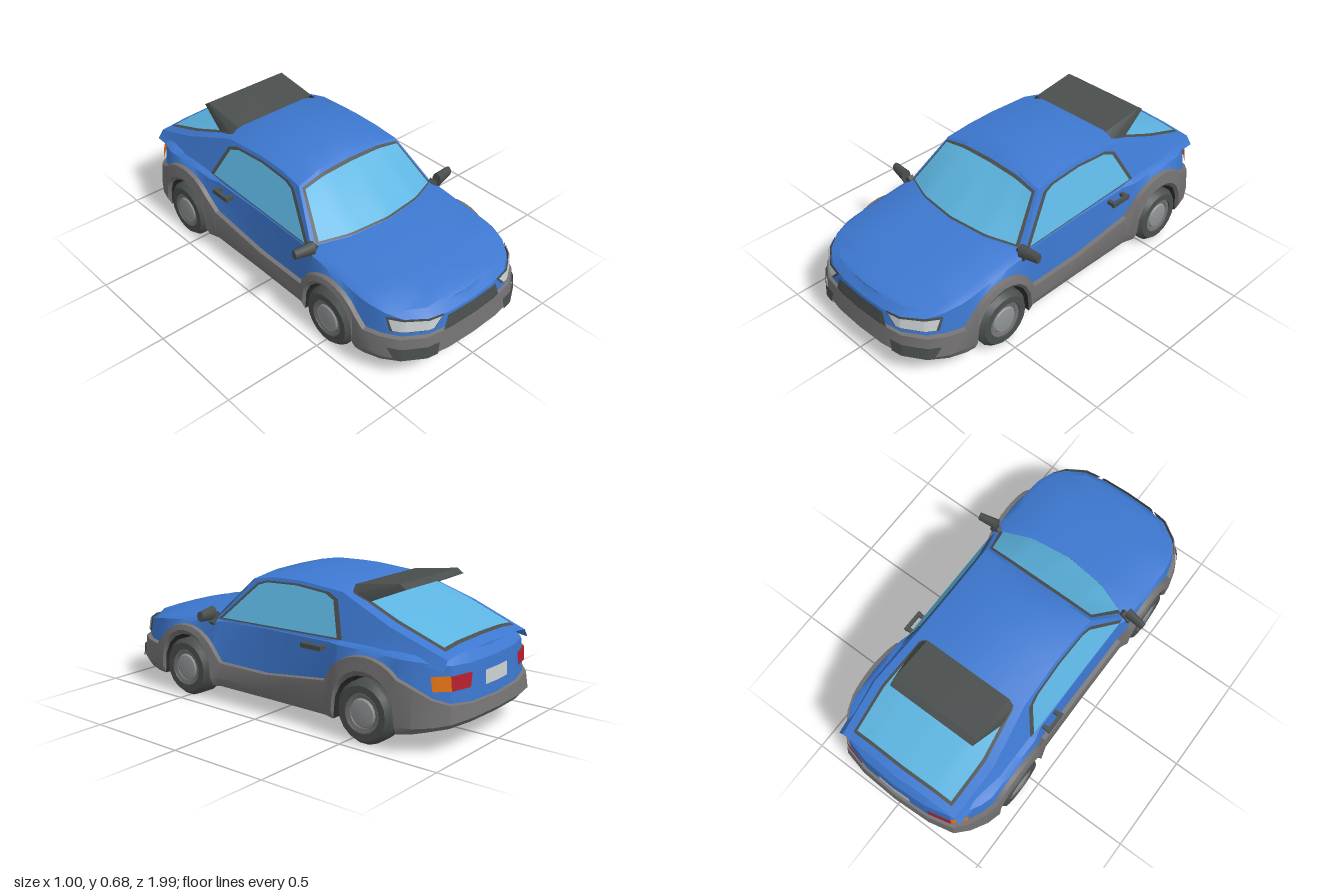
import * as THREE from 'three';
import { toCreasedNormals } from 'three/addons/utils/BufferGeometryUtils.js';

const paint = (name, color) => {
  const m = new THREE.MeshStandardMaterial({ color, side: THREE.DoubleSide });
  m.name = name;
  return m;
};
const V = (x, y, z) => new THREE.Vector3(x, y, z);
const lerp = THREE.MathUtils.lerp;

// Piecewise linear lookup in an ascending list of [key, value]
function interp(table, k) {
  if (k <= table[0][0]) return table[0][1];
  for (let i = 1; i < table.length; i++) {
    const [a, va] = table[i - 1], [b, vb] = table[i];
    if (k <= b) return b === a ? vb : lerp(va, vb, (k - a) / (b - a));
  }
  return table[table.length - 1][1];
}

// Skin over rows of points running front to rear, mirrored to both sides
function loft(rows) {
  const pos = [];
  for (const s of [1, -1]) for (let r = 0; r < rows.length - 1; r++) {
    for (let i = 0; i < rows[r].length - 1; i++) {
      const a = rows[r][i], b = rows[r][i + 1], c = rows[r + 1][i + 1], d = rows[r + 1][i];
      const order = s > 0 ? [a, b, c, a, c, d] : [a, c, b, a, d, c];
      for (const p of order) pos.push(p.x * s, p.y, p.z);
    }
  }
  const g = new THREE.BufferGeometry();
  g.setAttribute('position', new THREE.Float32BufferAttribute(pos, 3));
  return toCreasedNormals(g, 0.55);
}

// Thin curved panel sampled from fn(u, v)
function patch(fn, nu = 16, nv = 6) {
  const g = new THREE.PlaneGeometry(1, 1, nu, nv), p = g.attributes.position;
  for (let i = 0; i < p.count; i++) {
    const q = fn(p.getX(i) + 0.5, p.getY(i) + 0.5);
    p.setXYZ(i, q.x, q.y, q.z);
  }
  g.computeVertexNormals();
  return g;
}

export function createModel() {
  const car = new THREE.Group();
  car.name = 'car';
  const blue = paint('body blue', 0x3d78d0), grey = paint('bumper grey', 0x747273);
  const trim = paint('dark trim', 0x4a4f4e), floorMat = paint('underside black', 0x2b2c2c);
  const glass = paint('glass blue', 0x5cb4e0), silver = paint('lamp silver', 0xcbcfd0);
  const rim = paint('rim metal', 0x909496), red = paint('lamp red', 0xb4202e);
  const orange = paint('lamp orange', 0xe2720f);
  const add = (name, geo, mat, parent = car) => {
    const m = new THREE.Mesh(geo, mat);
    m.name = name;
    parent.add(m);
    return m;
  };

  // Plan outline stations from nose to tail, denser around the wheel arches
  const axles = [0.51, -0.58], axleY = 0.145;
  const arch = c => [0.17, 0.16, 0.13, 0.09, 0.045, 0, -0.045, -0.09, -0.13, -0.16, -0.17].map(d => [0.45, c + d]);
  const plan = [[0, 0.99], [0.15, 0.985], [0.27, 0.965], [0.37, 0.9], [0.42, 0.82], [0.445, 0.73],
    ...arch(axles[0]), [0.432, 0.3], [0.43, 0], [0.432, -0.35], ...arch(axles[1]),
    [0.43, -0.82], [0.385, -0.9], [0.33, -0.96], [0.2, -0.99], [0, -1]];

  // Heights along the car
  const floorY = z => interp([[-1, 0.13], [-0.8, 0.09], [-0.7, 0.08], [0.7, 0.08], [1, 0.1]], z);
  const circle = (z, c, r) => (Math.abs(z - c) < r ? axleY + Math.sqrt(r * r - (z - c) ** 2) : 0);
  const edgeY = z => Math.max(floorY(z), circle(z, axles[0], 0.165), circle(z, axles[1], 0.165));
  const greyY = z => Math.max(circle(z, axles[0], 0.215), circle(z, axles[1], 0.25),
    interp([[-1, 0.21], [-0.9, 0.25], [-0.8, 0.31], [-0.7, 0.3], [-0.4, 0.2], [0.6, 0.2], [0.75, 0.23], [1, 0.23]], z));
  const shoulderY = z => interp([[-1, 0.385], [-0.85, 0.405], [-0.58, 0.415], [0.2, 0.41], [0.4, 0.395], [0.8, 0.345], [0.9, 0.32], [1, 0.3]], z);
  const crownY = z => interp([[-0.96, 0.43], [-0.9, 0.44], [-0.4, 0.42], [0.2, 0.42], [0.42, 0.432], [0.6, 0.41], [0.8, 0.38], [0.9, 0.355], [0.95, 0.335]], z);

  // Horizontal ring, inset by dx at the sides and dz at the ends
  const ring = (dx, dz, yf) => plan.map(([x, z]) => {
    const end = THREE.MathUtils.clamp((Math.abs(z) - 0.72) / 0.2, 0, 1);
    const zz = z - Math.sign(z) * dz * end;
    return V(x * (1 - dx / 0.45), yf(z, zz), zz);
  });
  const low = ring(0.02, 0.02, edgeY);
  const well = low.map(p => V(Math.min(p.x, 0.3), p.y, p.z));
  const floor = well.map((p, i) => V(p.x, floorY(plan[i][1]), p.z));
  const floorMid = floor.map(p => V(0, p.y, p.z));
  const bumper = ring(0, 0, z => Math.max(edgeY(z) + 0.025, 0.125));
  const lip = ring(0.008, 0.01, greyY);
  const side = ring(0.03, 0.022, z => greyY(z) + 0.004);
  const shoulder = ring(0.042, 0.03, shoulderY);
  const top = ring(0.075, 0.06, (z, zz) => (Math.abs(z) > 0.95 ? crownY(zz) - 0.008 : shoulderY(z) + 0.018));
  const crown = top.map(p => V(0, crownY(p.z), p.z));
  const half = top.map((p, i) => V(p.x * 0.55, lerp(p.y, crown[i].y, 0.75), p.z));
  add('underside', loft([floorMid, floor, well, low]), floorMat);
  add('bumpersAndArches', loft([low, bumper, lip, side]), grey);
  add('lowerBody', loft([side, shoulder, top, half, crown]), blue);

  // Cabin hoops: base, roof edge, mid roof, centre
  const sideX = y => 0.39 - (y - 0.41) * 0.4;
  const hoop = (zb, ze, zq, zc, ye, yq, yc, xe = sideX(ye), xb = 0.39, yb = 0.405) =>
    [V(xb, yb, zb), V(xe, ye, ze), V(xe * 0.55, yq, zq), V(0, yc, zc)];
  const hoops = [
    hoop(0.335, 0.335, 0.405, 0.43, 0.42, 0.428, 0.431),
    hoop(0.16, 0.16, 0.145, 0.14, 0.62, 0.645, 0.65),
    hoop(0.03, 0.03, 0.03, 0.03, 0.638, 0.667, 0.674),
    hoop(-0.12, -0.12, -0.12, -0.12, 0.642, 0.673, 0.68),
    hoop(-0.36, -0.36, -0.36, -0.36, 0.625, 0.65, 0.656),
    hoop(-0.65, -0.65, -0.65, -0.65, 0.52, 0.545, 0.55),
    hoop(-0.93, -0.93, -0.93, -0.935, 0.42, 0.435, 0.44, 0.33, 0.36, 0.38)];
  add('cabin', loft([0, 1, 2, 3].map(k => hoops.map(h => h[k]))), blue);

  // Windscreen and rear window follow the cabin skin
  const across = (h, u) => {
    const a = Math.abs(u) * 2, p = a < 1 ? h[3].clone().lerp(h[2], a) : h[2].clone().lerp(h[1], a - 1);
    p.x *= Math.sign(u);
    return p;
  };
  const cabinPane = (name, list, w, v0, v1, off, mat) => add(name, patch((s, t) => {
    const k = lerp(v0, v1, t) * (list.length - 1), i = Math.min(Math.floor(k), list.length - 2);
    const u = (s * 2 - 1) * w;
    return across(list[i], u).lerp(across(list[i + 1], u), k - i).add(off);
  }, 20, 8), mat);
  const front = hoops.slice(0, 2), rear = hoops.slice(4);
  cabinPane('windscreenFrame', front, 0.95, 0.01, 0.94, V(0, 0.004, 0.004), trim);
  cabinPane('windscreen', front, 0.91, 0.04, 0.89, V(0, 0.008, 0.008), glass);
  cabinPane('rearWindowFrame', rear, 0.86, 0.06, 0.93, V(0, 0.005, -0.003), trim);
  cabinPane('rearWindow', rear, 0.81, 0.08, 0.9, V(0, 0.009, -0.005), glass);

  // Side windows lie on the flat cabin sides
  const outline = [[0.31, 0.418], [0.13, 0.598], [0.08, 0.615], [-0.1, 0.624], [-0.28, 0.612], [-0.335, 0.59], [-0.405, 0.435]];
  const sidePane = (name, s, k, off, mat) => {
    const shape = new THREE.Shape(outline.map(([z, y]) => new THREE.Vector2(-0.05 + (z + 0.05) * k, 0.52 + (y - 0.52) * k)));
    const g = new THREE.ShapeGeometry(shape), p = g.attributes.position;
    for (let i = 0; i < p.count; i++) p.setXYZ(i, s * (sideX(p.getY(i)) + off), p.getY(i), p.getX(i));
    if (s > 0) g.index.array.reverse();
    g.computeVertexNormals();
    add(name, g, mat);
  };

  // Panels laid on the nose or tail between two rings; corners: bl, br, tr, tl
  const endPanel = (name, a, b, dir, corners, off, mat, s = 1) => {
    const list = r => (dir > 0 ? r.slice(0, 6) : r.slice(-6).reverse());
    const at = (r, x, key) => interp(list(r).map(p => [p.x, p[key]]), Math.abs(x));
    add(name, patch((u, v) => {
      const [bl, br, tr, tl] = corners;
      const x = lerp(lerp(bl[0], br[0], u), lerp(tl[0], tr[0], u), v);
      const y = lerp(lerp(bl[1], br[1], u), lerp(tl[1], tr[1], u), v);
      const ya = at(a, x, 'y'), yb = at(b, x, 'y');
      const t = THREE.MathUtils.clamp((y - ya) / (yb - ya), 0, 1);
      const z = lerp(at(a, x, 'z'), at(b, x, 'z'), t);
      return V(s * (x + Math.sign(x) * off * Math.min(1, Math.abs(x) * 2)), y, z + dir * off);
    }, 24, 6), mat);
  };
  endPanel('grille', side, shoulder, 1, [[-0.175, 0.225], [0.175, 0.225], [0.15, 0.302], [-0.15, 0.302]], 0.012, trim);
  endPanel('numberPlate', side, shoulder, -1, [[-0.09, 0.27], [0.09, 0.27], [0.09, 0.335], [-0.09, 0.335]], 0.007, silver);

  // Wheel profile turned round the axle
  const turned = pts => toCreasedNormals(new THREE.LatheGeometry(pts.map(p => new THREE.Vector2(...p)), 18), 0.5);
  const tyre = turned([[0, -0.07], [0.115, -0.07], [0.145, -0.045], [0.145, 0.045], [0.125, 0.07], [0.092, 0.07], [0.085, 0.05]]);
  const ringGeo = turned([[0.092, 0.06], [0.088, 0.066], [0.07, 0.062], [0.066, 0.055]]);
  const hub = turned([[0.07, 0.055], [0.06, 0.066], [0.03, 0.07], [0, 0.07]]);

  for (const s of [1, -1]) {
    const sideName = s > 0 ? 'left' : 'right';
    sidePane(sideName + 'WindowFrame', s, 1.045, 0.004, trim);
    sidePane(sideName + 'Window', s, 0.97, 0.008, glass);
    endPanel(sideName + 'HeadlampFrame', side, shoulder, 1, [[0.215, 0.257], [0.375, 0.257], [0.38, 0.328], [0.165, 0.314]], 0.006, trim, s);
    endPanel(sideName + 'Headlamp', side, shoulder, 1, [[0.222, 0.264], [0.368, 0.264], [0.374, 0.32], [0.18, 0.308]], 0.011, silver, s);
    endPanel(sideName + 'FogVent', bumper, lip, 1, [[0.215, 0.125], [0.385, 0.125], [0.4, 0.185], [0.205, 0.185]], 0.007, trim, s);
    endPanel(sideName + 'TailLamp', side, shoulder, -1, [[0.2, 0.285], [0.305, 0.285], [0.305, 0.35], [0.19, 0.35]], 0.01, red, s);
    endPanel(sideName + 'TurnLamp', side, shoulder, -1, [[0.305, 0.285], [0.36, 0.285], [0.36, 0.35], [0.305, 0.35]], 0.01, orange, s);

    // Door mirror on an arm
    const mirror = add(sideName + 'Mirror', new THREE.CylinderGeometry(0.026, 0.036, 0.1, 8), trim);
    mirror.scale.set(1, 1, 0.7);
    mirror.rotation.set(0, s * 0.15, -s * Math.PI / 2);
    mirror.position.set(s * 0.447, 0.438, 0.355);
    const arm = add(sideName + 'MirrorArm', new THREE.BoxGeometry(0.065, 0.022, 0.03), trim);
    arm.rotation.z = -s * 0.8;
    arm.position.set(s * 0.397, 0.413, 0.35);

    // Door handle with two feet
    const handle = new THREE.Group();
    handle.name = sideName + 'DoorHandle';
    handle.position.set(s * 0.418, 0.388, -0.285);
    add('handleGrip', new THREE.BoxGeometry(0.016, 0.022, 0.115), trim, handle).position.x = s * 0.012;
    for (const z of [-0.045, 0.045]) add('handleFoot', new THREE.BoxGeometry(0.04, 0.018, 0.02), trim, handle).position.set(-s * 0.005, 0, z);
    car.add(handle);

    for (const z of axles) {
      const wheel = new THREE.Group();
      wheel.name = sideName + (z > 0 ? 'FrontWheel' : 'RearWheel');
      wheel.position.set(s * 0.38, axleY, z);
      wheel.rotation.z = -s * Math.PI / 2;
      add('tyre', tyre, trim, wheel);
      add('rimRing', ringGeo, grey, wheel);
      add('hub', hub, rim, wheel);
      car.add(wheel);
    }
  }

  // Rear wing: profile across the roof with drooping ends
  const profile = (x, pts) => pts.map(([z, y]) => V(x, y, z));
  const mid = [[-0.38, 0.652], [-0.62, 0.684], [-0.652, 0.662], [-0.46, 0.615], [-0.38, 0.652]];
  const tip = [[-0.39, 0.615], [-0.47, 0.605], [-0.48, 0.59], [-0.42, 0.585], [-0.39, 0.615]];
  const tipEnd = profile(0.27, tip);
  const wing = [tipEnd.map(() => V(0.27, 0.598, -0.44)), tipEnd, profile(0.235, mid), profile(0, mid)];
  add('rearWing', loft(wing), trim);
  return car;
}
